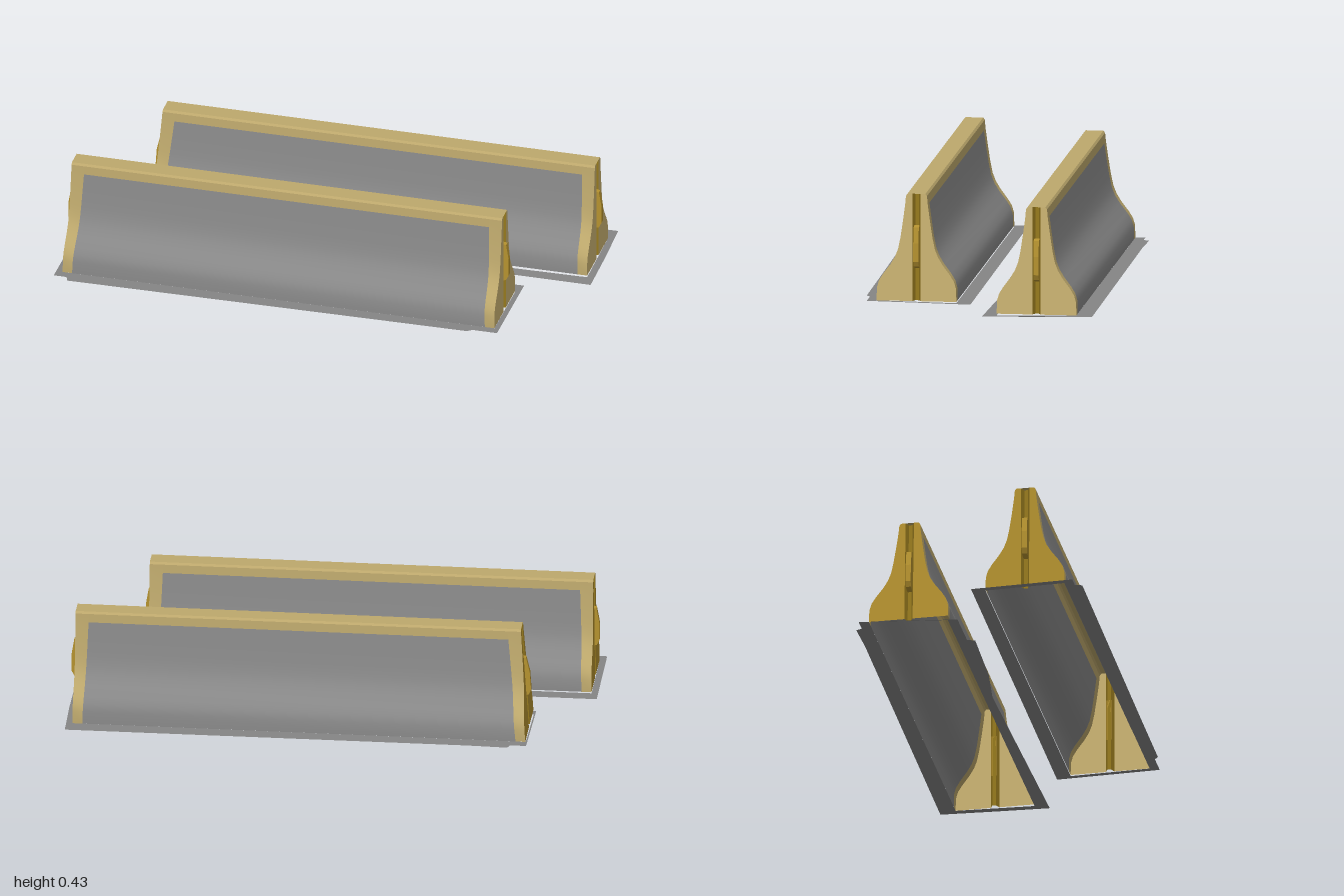
import * as THREE from 'three';
import { toCreasedNormals } from 'three/addons/utils/BufferGeometryUtils.js';

// The barriers are hollow open-bottomed shells, so every surface is two-sided
const mat = (name, color) => {
  const m = new THREE.MeshStandardMaterial({ color, side: THREE.DoubleSide });
  m.name = name;
  return m;
};

// Half cross-section as [half width, height], bottom to top
const BASE = 0.026, TOP = 0.438;
const LOWER = [[0.152, BASE], [0.151, 0.075], [0.143, 0.103], [0.127, 0.129], [0.1, 0.165],
  [0.082, 0.195], [0.07, 0.226], [0.061, 0.27], [0.052, 0.33], [0.043, 0.397]];
const UPPER = [[0.043, 0.397], [0.04, 0.43], [0.034, TOP]];
const FULL = [...LOWER, ...UPPER.slice(1)];
const SLOT = 0.016;   // half width of the end slot

const whole = (half) => [...half, ...half.map(([w, y]) => [-w, y]).reverse()];
const oneSide = (half, s) => half.map(([w, y]) => [s * w, y]);
const inset = (y) => 0.036 + 0.014 * (y / 0.4);   // width of the painted end bands

// Surface ruled between two polylines of equal length
function ruled(a, b, flip = false) {
  const [p, q] = flip ? [b, a] : [a, b];
  const index = [];
  for (let i = 0; i < p.length - 1; i++) {
    const j = i + p.length;
    index.push(i, j, i + 1, j, j + 1, i + 1);
  }
  const geo = new THREE.BufferGeometry();
  geo.setAttribute('position', new THREE.Float32BufferAttribute([...p, ...q].flat(), 3));
  geo.setIndex(index);
  return toCreasedNormals(geo, 0.5);
}

// Cross-section points placed at an x that may vary with height
const at = (points, xOf) => points.map(([z, y]) => [xOf(y), y, z]);

function add(parent, name, geo, material) {
  const mesh = new THREE.Mesh(geo, material);
  mesh.name = name;
  parent.add(mesh);
}

function makeBarrier(name, x0, x1, lean, z, m) {
  const g = new THREE.Group();
  g.name = name;
  g.position.z = z;

  // End positions by height; the right end may lean inwards
  const right = (y) => x0 + lean * (y / TOP);
  const left = () => x1;
  const rightIn = (y) => right(y) + inset(y);
  const leftIn = (y) => x1 - inset(y);

  // Concrete flanks and painted top rail
  for (const s of [1, -1]) {
    const side = oneSide(LOWER, s);
    add(g, s > 0 ? 'frontFlank' : 'backFlank', ruled(at(side, rightIn), at(side, leftIn), s < 0), m.concrete);
  }
  add(g, 'topRail', ruled(at(whole(UPPER), rightIn), at(whole(UPPER), leftIn)), m.sand);

  // Painted bands around both ends
  add(g, 'rightBand', ruled(at(whole(FULL), right), at(whole(FULL), rightIn)), m.sand);
  add(g, 'leftBand', ruled(at(whole(FULL), leftIn), at(whole(FULL), left)), m.sand);

  for (const [label, end, d, face] of [['left', left, 1, m.endSand], ['right', right, -1, m.endGold]]) {
    // End face on both sides of the slot
    for (const s of [1, -1]) {
      const edge = FULL.map(([, y]) => [s * SLOT, y]);
      add(g, label + 'EndFace', ruled(at(edge, end), at(oneSide(FULL, s), end), s * d > 0), face);
    }
    // Tapered slot sunk into the end
    const plan = [[0, -SLOT], [-0.02 * d, -0.007], [-0.02 * d, 0.007], [0, SLOT]];
    const lineAt = (y) => plan.map(([dx, pz]) => [end(y) + dx, y, pz]);
    add(g, label + 'Slot', ruled(lineAt(BASE), lineAt(TOP), d < 0), m.slotGold);

    // Chamfered coupling hook standing out of the slot
    const outline = [[-0.02, 0.15], [0.008, 0.16], [0.018, 0.18], [0.018, 0.25], [0.008, 0.31], [-0.02, 0.315]];
    const shape = new THREE.Shape(outline.map(([dx, y]) => new THREE.Vector2(end(y) + d * dx, y)));
    const hook = new THREE.ExtrudeGeometry(shape, { depth: 0.02, bevelEnabled: false });
    add(g, label + 'Hook', hook.translate(0, 0, -0.01), m.endGold);
  }
  return g;
}

// Thin uneven ground sheet around a barrier's open base, height set by a rule
function makeSheet(name, outline, [x0, x1, z0], height, material) {
  const toShape = ([x, z]) => new THREE.Vector2(x, -z);
  const w = LOWER[0][0];
  const shape = new THREE.Shape(outline.map(toShape));
  shape.holes.push(new THREE.Path([[x0, z0 - w], [x1, z0 - w], [x1, z0 + w], [x0, z0 + w]].map(toShape)));
  const geo = new THREE.ShapeGeometry(shape).rotateX(-Math.PI / 2);
  const p = geo.attributes.position;
  for (let i = 0; i < p.count; i++) p.setY(i, height(p.getX(i), p.getZ(i)));
  geo.computeVertexNormals();
  const mesh = new THREE.Mesh(geo, material);
  mesh.name = name;
  return mesh;
}

export function createModel() {
  const m = {
    concrete: mat('concrete grey', 0x888888),
    sand: mat('sand yellow', 0xbda86c),
    endSand: mat('light sand', 0xcdb574),
    endGold: mat('gold', 0xb5922f),
    slotGold: mat('dark gold', 0x977a1e),
    ground: mat('ground grey', 0x858585),
  };
  const model = new THREE.Group();
  model.name = 'roadBarriers';

  const front = [-0.965, 0.725, 0.243];
  const back = [-0.765, 0.957, -0.245];
  model.add(makeBarrier('frontBarrier', front[0], front[1], 0.005, front[2], m));
  model.add(makeBarrier('backBarrier', back[0], back[1], 0.03, back[2], m));

  model.add(makeSheet('frontGroundSheet', [
    [-0.99, 0.04], [0.745, 0.035], [0.745, 0.43], [0.65, 0.43], [0.63, 0.445],
    [0.3, 0.447], [-0.93, 0.457], [-0.94, 0.43], [-0.99, 0.43],
  ], front, (x, z) => 0.02 + 0.015 * z, m.ground));

  model.add(makeSheet('backGroundSheet', [
    [-0.77, -0.435], [-0.71, -0.435], [-0.7, -0.458], [-0.55, -0.453], [0.98, -0.46],
    [0.985, -0.25], [0.985, -0.04], [-0.05, -0.06], [-0.25, -0.035], [-0.57, -0.025],
    [-0.58, -0.055], [-0.77, -0.055],
  ], back, (x, z) => {
    const dip = THREE.MathUtils.clamp((z + 0.4) / 0.37, 0, 1);
    return 0.026 - dip * (0.017 - 0.009 * x);
  }, m.ground));

  return model;
}
